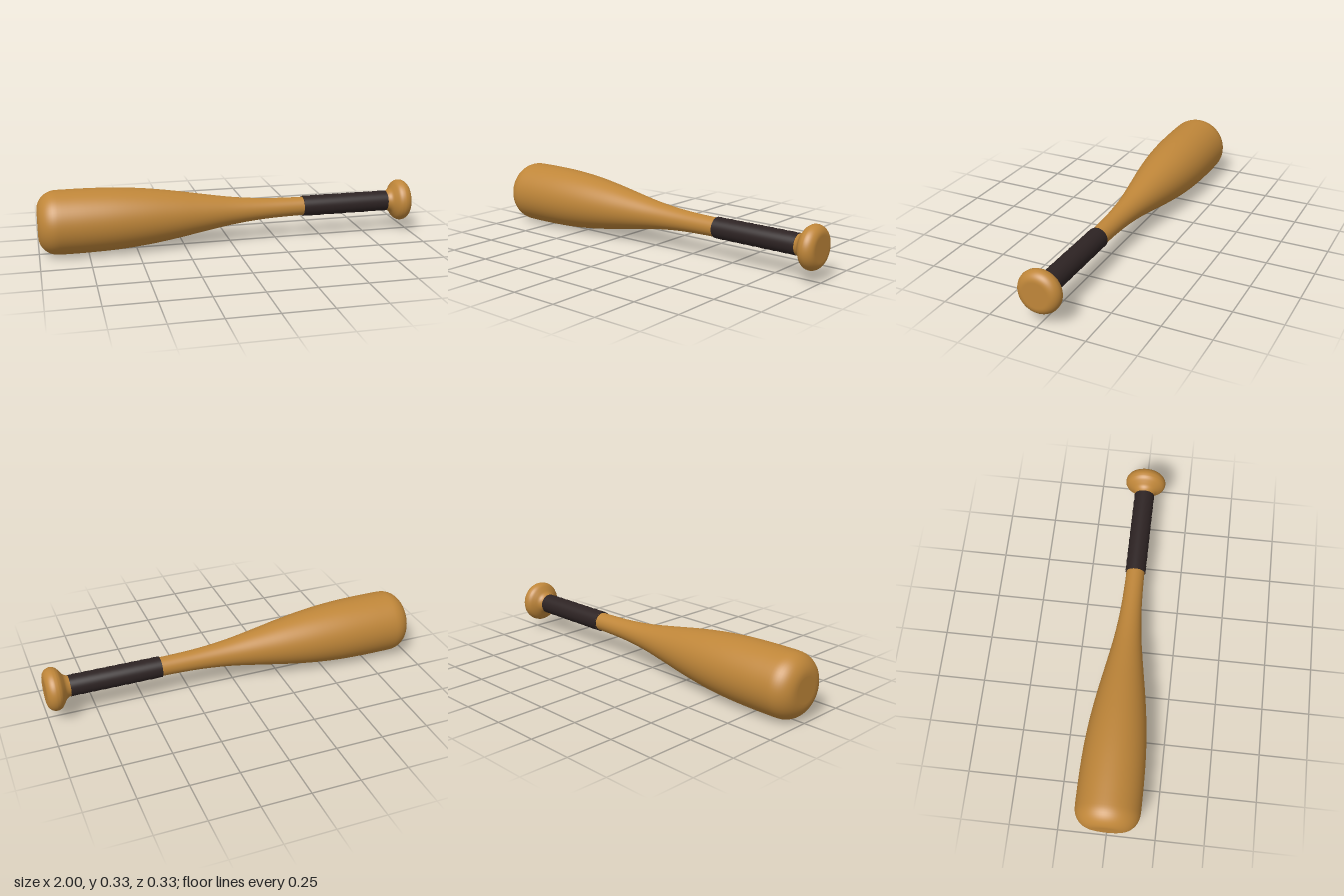
import * as THREE from 'three';

const AXIS_Y = 0.167;

// Smooth profile through [x, radius] pairs, as lathe points
function smoothProfile(pairs, n) {
  const curve = new THREE.CatmullRomCurve3(pairs.map(([x, r]) => new THREE.Vector3(r, x, 0)), false, 'centripetal');
  return curve.getPoints(n).map(p => new THREE.Vector2(Math.max(p.x, 0), p.y));
}

// Quarter-ellipse rounding, from angle a0 to a1, around (x, r)
function arc(x, r, dx, dr, a0, a1, n) {
  return Array.from({ length: n + 1 }, (_, i) => {
    const a = a0 + (a1 - a0) * i / n;
    return new THREE.Vector2(r + dr * Math.sin(a), x + dx * Math.cos(a));
  });
}

export function createModel() {
  const wood = new THREE.MeshStandardMaterial({ color: 0xbf8639 });
  wood.name = 'wood';
  const tape = new THREE.MeshStandardMaterial({ color: 0x2d2323 });
  tape.name = 'dark grip tape';

  const group = new THREE.Group();
  group.name = 'bat';
  const add = (name, geometry, material) => {
    const mesh = new THREE.Mesh(geometry, material);
    mesh.name = name;
    group.add(mesh);
  };

  // Barrel with rounded end, tapering into the handle
  const body = [
    new THREE.Vector2(0, -1),
    new THREE.Vector2(0.066, -1),
    ...arc(-0.9, 0.07, 0.1, 0.095, Math.PI, Math.PI / 2, 12),
    ...smoothProfile([[-0.88, 0.1655], [-0.75, 0.165], [-0.6, 0.16], [-0.45, 0.147], [-0.3, 0.126],
      [-0.15, 0.1], [0, 0.075], [0.1, 0.063], [0.2, 0.055], [0.3, 0.051], [0.42, 0.049], [0.88, 0.049]], 50),
  ];
  add('barrelAndHandle', new THREE.LatheGeometry(body, 64), wood);

  // Flared knob with a softly rounded flat end
  const knob = [
    ...smoothProfile([[0.86, 0.05], [0.885, 0.055], [0.9, 0.064], [0.913, 0.082], [0.927, 0.1], [0.942, 0.109]], 18),
    ...arc(0.954, 0.066, 0.046, 0.045, Math.PI / 2, 0, 12),
    new THREE.Vector2(0.062, 1),
    new THREE.Vector2(0, 1),
  ];
  add('knob', new THREE.LatheGeometry(knob, 64), wood);

  // Grip tape: a sleeve with shallow spiral overlaps
  const length = 0.476, pitch = 0.06;
  const grip = new THREE.CylinderGeometry(0.055, 0.055, length, 48, 96, true);
  const pos = grip.attributes.position;
  for (let i = 0; i < pos.count; i++) {
    const x = pos.getX(i), y = pos.getY(i), z = pos.getZ(i);
    const turn = y / pitch + Math.atan2(z, x) / (2 * Math.PI) + 20;
    const r = 0.0535 + 0.002 * (turn - Math.floor(turn));
    const k = r / 0.055;
    pos.setXYZ(i, x * k, y, z * k);
  }
  grip.translate(0, 0.4 + length / 2, 0);
  add('gripTape', grip, tape);

  // Rims closing the sleeve at both ends
  for (const [x, turn] of [[0.4, Math.PI / 2], [0.876, -Math.PI / 2]]) {
    const rim = new THREE.RingGeometry(0.045, 0.0545, 48);
    rim.rotateX(turn);
    rim.translate(0, x, 0);
    add('gripRim', rim, tape);
  }

  // Lay the bat along x, knob towards +x
  group.rotation.z = -Math.PI / 2;
  group.position.y = AXIS_Y;
  const model = new THREE.Group();
  model.name = 'baseballBat';
  model.add(group);
  return model;
}
